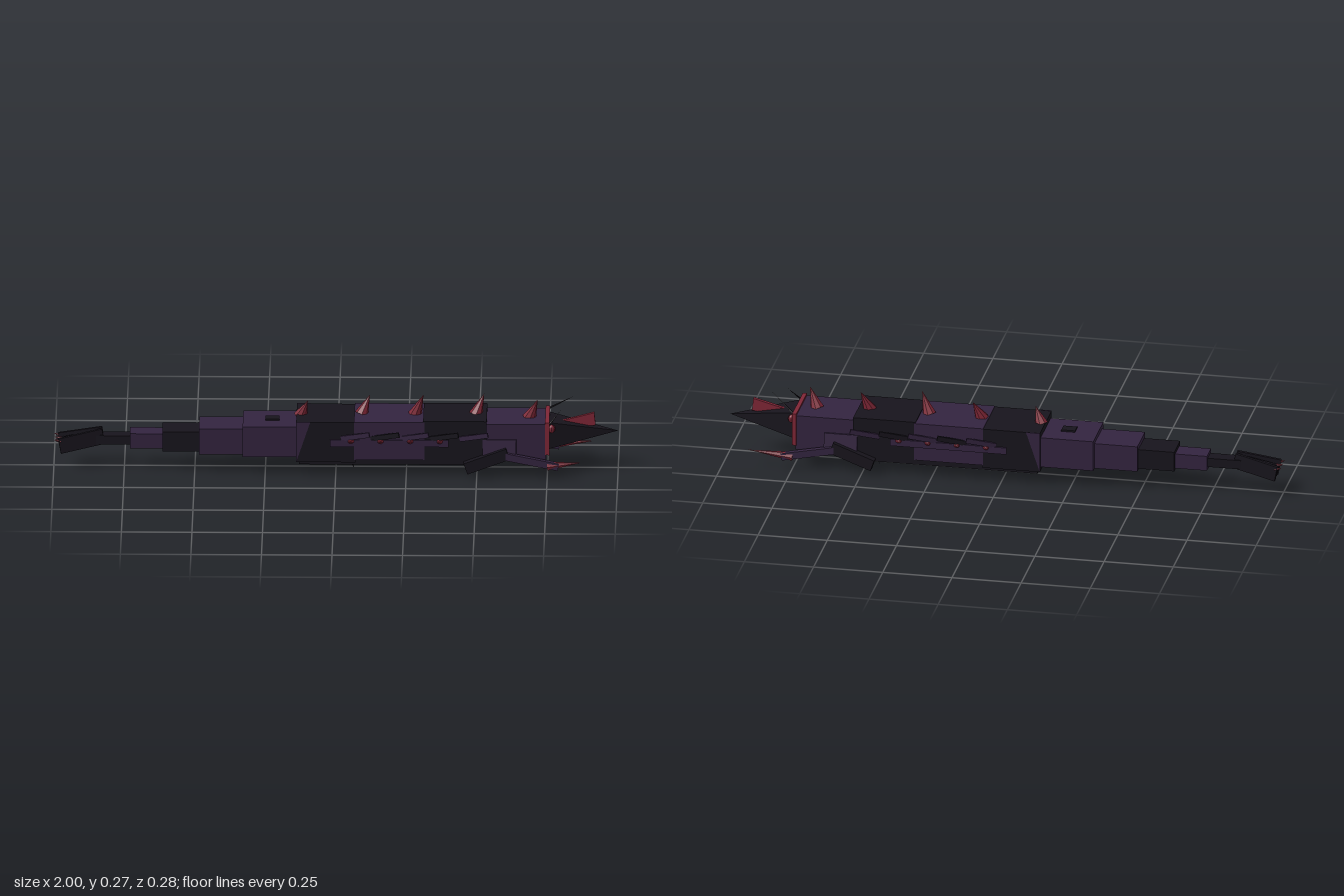
import * as THREE from 'three';

const mat = (color) => new THREE.MeshStandardMaterial({ color, flatShading: true });

export function createModel() {
  const model = new THREE.Group();
  const purple = mat(0x33243f), dark = mat(0x17141c), red = mat(0x7f2636);

  const add = (name, geo, material) => {
    const mesh = new THREE.Mesh(geo, material);
    mesh.name = name;
    model.add(mesh);
    return mesh;
  };
  // Box given by its x and y ranges, half width and centre z
  const block = (name, x0, x1, y0, y1, half, material, z = 0) => {
    const m = add(name, new THREE.BoxGeometry(x1 - x0, y1 - y0, half * 2), material);
    m.position.set((x0 + x1) / 2, (y0 + y1) / 2, z);
    return m;
  };
  // Cone from a base point to a tip
  const up = new THREE.Vector3(0, 1, 0);
  const spike = (name, from, to, radius, material, sides = 8) => {
    const a = new THREE.Vector3(...from), b = new THREE.Vector3(...to);
    const d = b.clone().sub(a);
    const m = add(name, new THREE.ConeGeometry(radius, d.length(), sides), material);
    m.position.copy(a).add(b).multiplyScalar(0.5);
    m.quaternion.setFromUnitVectors(up, d.normalize());
    return m;
  };
  // Square bar between two points, its length along local x
  const bar = (name, from, to, height, width, material) => {
    const a = new THREE.Vector3(...from), b = new THREE.Vector3(...to);
    const d = b.clone().sub(a);
    const m = add(name, new THREE.BoxGeometry(d.length(), height, width), material);
    m.position.copy(a).add(b).multiplyScalar(0.5);
    m.rotation.order = 'YZX';
    m.rotation.y = Math.atan2(-d.z, d.x);
    m.rotation.z = Math.atan2(d.y, Math.hypot(d.x, d.z));
    return m;
  };

  // Body segments from neck to tail: x0, x1, y0, y1, half width
  [
    [0.53, 0.745, 0.06, 0.19, 0.095, purple],
    [0.31, 0.535, 0.05, 0.203, 0.104, dark],
    [0.065, 0.315, 0.06, 0.2, 0.108, purple],
    [-0.14, 0.07, 0.05, 0.198, 0.106, dark],
    [-0.33, -0.13, 0.064, 0.176, 0.092, purple],
    [-0.485, -0.32, 0.065, 0.16, 0.07, purple],
    [-0.615, -0.475, 0.07, 0.143, 0.054, dark],
    [-0.73, -0.605, 0.075, 0.13, 0.037, purple],
    [-0.85, -0.72, 0.085, 0.118, 0.025, dark],
  ].forEach((s) => block('bodySegment', ...s));
  block('bellyPlate', -0.13, 0.58, 0.032, 0.07, 0.04, dark);
  for (const z of [-0.07, 0.07]) block('bellyRail', -0.13, 0.5, 0.04, 0.06, 0.03, dark, z);
  block('backPlate', -0.25, -0.2, 0.17, 0.182, 0.02, dark);

  // Slanted purple corner on the flanks of the rear dark segment
  const corner = new THREE.Shape([
    new THREE.Vector2(-0.14, 0.05), new THREE.Vector2(-0.09, 0.199), new THREE.Vector2(-0.14, 0.199),
  ]);
  for (const z of [0.105, -0.108]) {
    add('flankCorner', new THREE.ExtrudeGeometry(corner, { depth: 0.003, bevelEnabled: false }), purple).position.z = z;
  }

  // Back spikes, leaning alternately to each side
  [[-0.125, -0.1, 0.25, 0.19], [0.09, 0.12, 0.262, 0.195], [0.28, 0.31, 0.274, 0.195],
    [0.495, 0.525, 0.268, 0.195], [0.685, 0.715, 0.258, 0.185]].forEach(([x, tx, ty, y], i) => {
    spike('backSpike', [x, y, 0], [tx, ty, i % 2 ? -0.018 : 0.018], 0.025, red);
  });

  // Belly spikes
  spike('bellySpike', [0.05, 0.035, 0.018], [0.065, 0, 0.018], 0.008, dark, 6);
  spike('bellySpike', [0.47, 0.035, -0.022], [0.455, 0, -0.022], 0.008, dark, 6);

  // Collar and four-sided snout
  block('collar', 0.742, 0.757, 0.077, 0.197, 0.098, red);
  const snoutGeo = new THREE.ConeGeometry(Math.SQRT1_2, 1, 4);
  snoutGeo.rotateY(Math.PI / 4);
  snoutGeo.rotateZ(-Math.PI / 2);
  snoutGeo.scale(0.25, 0.1, 0.13);
  add('snout', snoutGeo, dark).position.set(0.875, 0.138, 0);
  const crest = new THREE.Shape([
    new THREE.Vector2(0.76, 0.165), new THREE.Vector2(0.915, 0.206),
    new THREE.Vector2(0.92, 0.16), new THREE.Vector2(0.78, 0.145),
  ]);
  const crestGeo = new THREE.ExtrudeGeometry(crest, { depth: 0.014, bevelEnabled: false });
  add('snoutCrest', crestGeo, red).position.z = -0.007;

  // Antennae of uneven length
  spike('antenna', [0.75, 0.175, 0.077], [0.8, 0.232, 0.045], 0.004, dark, 5);
  spike('antenna', [0.75, 0.19, -0.088], [0.845, 0.255, -0.037], 0.004, dark, 5);

  for (const s of [1, -1]) {
    // Eyes
    const eye = add('eye', new THREE.SphereGeometry(0.013, 8, 6), red);
    eye.position.set(0.765, 0.165, s * 0.066);
    eye.scale.set(1, 1.2, 0.8);

    // Row of side quills with red studs
    block('sideStrip', -0.02, 0.4, 0.11, 0.135, 0.003, purple, s * 0.11);
    for (let i = 0; i < 5; i++) {
      const x = 0.02 + i * 0.105;
      bar('sideQuill', [x, 0.138, s * 0.105], [x + 0.1, 0.163, s * 0.138], 0.018, 0.008, i % 2 ? dark : purple);
      if (i < 4) {
        spike('sideStud', [x + 0.035, 0.132, s * 0.106], [x + 0.025, 0.132, s * 0.132], 0.014, red);
      }
    }

    // Arm: shoulder plate, back-swept upper arm, forearm and claw
    const plate = block('shoulderPlate', 0.52, 0.64, 0.062, 0.135, 0.008, purple, s * 0.102);
    plate.rotation.x = -s * 0.15;
    bar('upperArm', [0.61, 0.088, s * 0.112], [0.46, 0.035, s * 0.12], 0.042, 0.026, dark);
    bar('forearm', [0.59, 0.08, s * 0.115], [0.79, 0.042, s * 0.122], 0.026, 0.02, purple);
    spike('claw', [0.75, 0.044, s * 0.121], [s > 0 ? 0.87 : 0.912, 0.058, s * 0.124], 0.016, red, 6);
  }

  // Tail fan of three splayed blades with red tips
  for (const s of [-1, 0, 1]) {
    const z = s * 0.034;
    bar('tailBlade', [-0.825, 0.113, s * 0.012], [-0.98, 0.082, z], s ? 0.056 : 0.04, 0.012, dark);
    spike('tailTip', [-0.975, 0.1, z], [-1, 0.106, z * 1.1], 0.007, red, 6);
  }

  return model;
}
